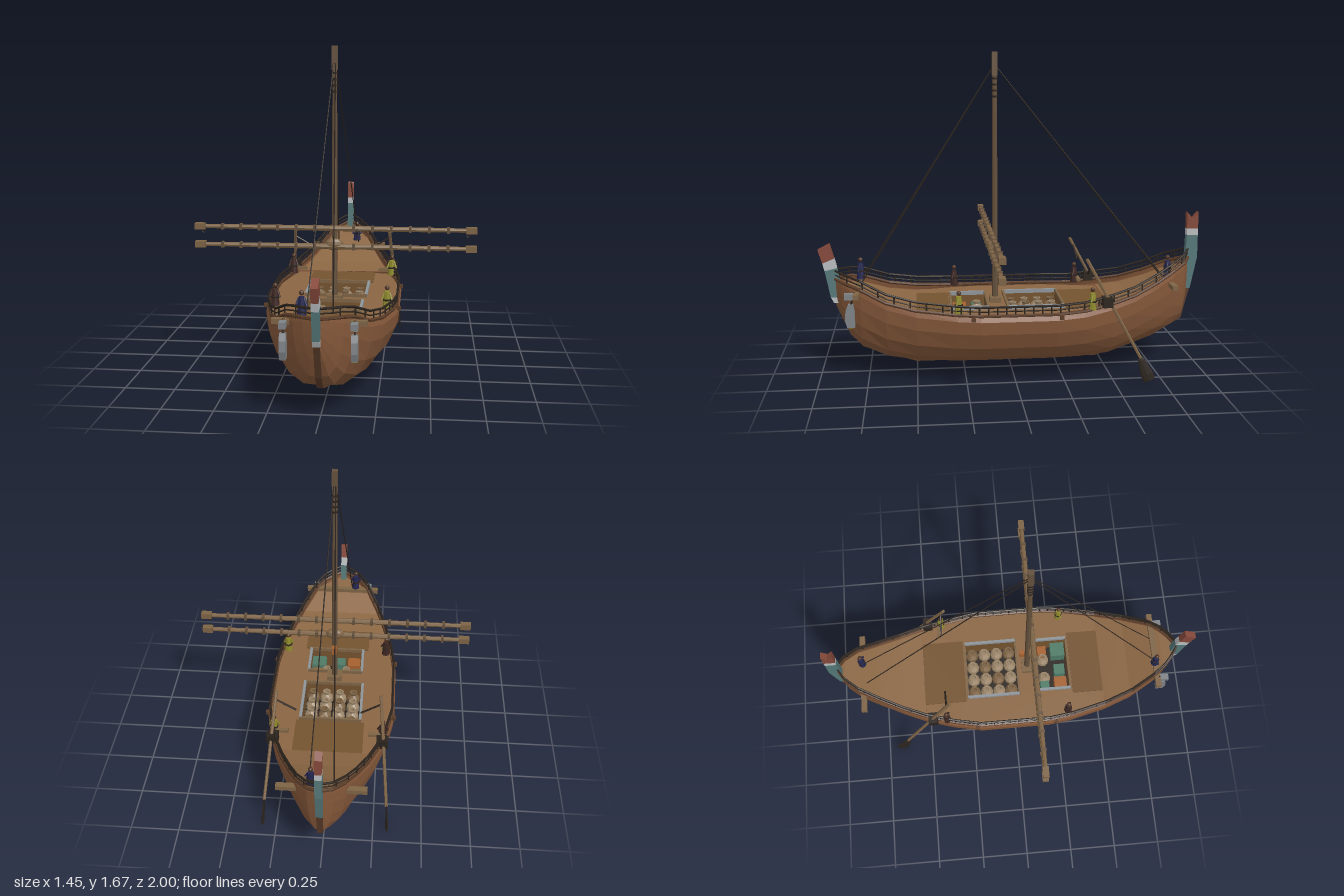
import * as THREE from 'three';

const C = { hull: 0x85583a, keel: 0x5a3c28, deck: 0x8a6643, plank: 0x73522f, wood: 0x7d6345, mast: 0x64503c, dark: 0x2b231d,
  teal: 0x557778, white: 0xb9bdbf, red: 0x84483a, stone: 0x7d8286, clay: 0x9a8468, yellow: 0x8f8a2c, navy: 0x23264f,
  maroon: 0x3d2622, skin: 0x4f3324, orange: 0xa5602e, green: 0x4f7a66, frame: 0x8d9499 };
const mats = {};
const mat = c => mats[c] ??= new THREE.MeshStandardMaterial({ color: C[c], flatShading: true, side: THREE.DoubleSide });
const V = (x, y, z) => new THREE.Vector3(x, y, z);

function add(parent, geo, color, name, x = 0, y = 0, z = 0) {
  const m = new THREE.Mesh(geo, mat(color));
  m.name = name;
  m.position.set(x, y, z);
  parent.add(m);
  return m;
}
const box = (p, c, n, w, h, d, x, y, z) => add(p, new THREE.BoxGeometry(w, h, d), c, n, x, y, z);

// Round bar between two points
function rod(p, c, n, a, b, r0, r1 = r0, sides = 6) {
  const m = add(p, new THREE.CylinderGeometry(r1, r0, a.distanceTo(b), sides), c, n);
  m.position.copy(a).lerp(b, 0.5);
  m.quaternion.setFromUnitVectors(V(0, 1, 0), b.clone().sub(a).normalize());
  return m;
}

// Plate with an outline in (z, y), centred on x = 0
function slab(p, c, n, pts, width) {
  const g = new THREE.ExtrudeGeometry(new THREE.Shape(pts.map(q => new THREE.Vector2(...q))), { depth: width, bevelEnabled: false });
  g.rotateY(-Math.PI / 2).translate(width / 2, 0, 0);
  return add(p, g, c, n);
}

// Skin over rows of points
function loft(rows) {
  const n = rows[0].length, idx = [];
  for (let i = 0; i < rows.length - 1; i++)
    for (let j = 0; j < n - 1; j++) {
      const a = i * n + j, b = a + n;
      idx.push(a, a + 1, b, b, a + 1, b + 1);
    }
  const g = new THREE.BufferGeometry();
  g.setAttribute('position', new THREE.Float32BufferAttribute(rows.flat(2), 3));
  g.setIndex(idx);
  g.computeVertexNormals();
  return g;
}

// Hull stations: z, half width, bottom, sheer
const ST = [[0.915, 0.012, 0.40, 0.505], [0.88, 0.065, 0.30, 0.50], [0.84, 0.11, 0.215, 0.495], [0.78, 0.155, 0.155, 0.48],
  [0.65, 0.22, 0.105, 0.425], [0.5, 0.27, 0.085, 0.395], [0.3, 0.315, 0.08, 0.38], [0.18, 0.33, 0.08, 0.375],
  [-0.2, 0.33, 0.08, 0.375], [-0.35, 0.30, 0.08, 0.38], [-0.5, 0.26, 0.09, 0.405], [-0.62, 0.215, 0.125, 0.43],
  [-0.75, 0.16, 0.165, 0.48], [-0.85, 0.115, 0.215, 0.53], [-0.92, 0.06, 0.27, 0.56], [-0.95, 0.012, 0.40, 0.58]];
function at(z) {
  const i = Math.max(1, Math.min(ST.length - 1, ST.findIndex(s => s[0] <= z)));
  const a = ST[i - 1], b = ST[i], t = (z - a[0]) / (b[0] - a[0]);
  return a.map((v, k) => v + (b[k] - v) * t);
}
const SECTION = [[0, 0], [0.42, 0.02], [0.72, 0.18], [0.9, 0.4], [1.01, 0.68], [1.03, 0.9], [0.99, 1]];

function person(p, c, x, y, z) {
  const g = new THREE.Group();
  g.name = 'crewMember';
  g.position.set(x, y, z);
  p.add(g);
  add(g, new THREE.CylinderGeometry(0.014, 0.022, 0.085, 8), c, 'tunic', 0, 0.045, 0);
  add(g, new THREE.SphereGeometry(0.012, 8, 6), 'skin', 'head', 0, 0.105, 0);
  add(g, new THREE.CylinderGeometry(0.021, 0.021, 0.008, 8), 'dark', 'belt', 0, 0.045, 0);
  for (const s of [-1, 1]) rod(g, c, 'arm', V(s * 0.012, 0.082, 0), V(s * 0.026, 0.045, 0.012), 0.005);
}

function hull(g) {
  const both = SECTION.slice(1).reverse().map(([u, v]) => [-u, v]).concat(SECTION);
  add(g, loft(ST.map(([z, w, b, t]) => both.map(([u, v]) => [u * w, b + v * (t - b), z]))), 'hull', 'hull');
  slab(g, 'keel', 'keel', [[0.935, 0.42], [0.885, 0.3], [0.845, 0.21], [0.78, 0.14], [0.62, 0.085], [0.5, 0.05], [-0.45, 0.05],
    [-0.62, 0.105], [-0.75, 0.148], [-0.92, 0.245], [-0.965, 0.42], [-0.92, 0.42], [-0.87, 0.3], [-0.6, 0.16], [-0.4, 0.1],
    [0.45, 0.1], [0.6, 0.14], [0.75, 0.2], [0.85, 0.35]], 0.03);

  // Painted stem and stern posts
  slab(g, 'white', 'stemFoot', [[0.925, 0.38], [0.94, 0.41], [0.88, 0.41], [0.87, 0.38]], 0.034);
  slab(g, 'teal', 'stemPost', [[0.94, 0.41], [0.968, 0.55], [0.905, 0.565], [0.88, 0.41]], 0.034);
  slab(g, 'white', 'stemBand', [[0.968, 0.55], [0.978, 0.59], [0.918, 0.615], [0.905, 0.565]], 0.034);
  slab(g, 'red', 'stemHead', [[0.978, 0.59], [1, 0.66], [0.94, 0.692], [0.918, 0.615]], 0.034);
  slab(g, 'teal', 'sternPost', [[-0.965, 0.41], [-0.93, 0.41], [-0.94, 0.7], [-1, 0.7], [-1, 0.58]], 0.034);
  slab(g, 'white', 'sternBand', [[-1, 0.7], [-0.94, 0.7], [-0.94, 0.735], [-1, 0.735]], 0.034);
  slab(g, 'red', 'sternHead', [[-1, 0.735], [-0.94, 0.735], [-0.94, 0.825], [-0.97, 0.79], [-1, 0.825]], 0.034);
}

function deck(g) {
  // Main deck with two cargo hatches; shape y runs along z
  const zs = ST.map(s => s[0]).filter(z => Math.abs(z) <= 0.5);
  const edge = zs.map(z => new THREE.Vector2(at(z)[1] * 0.99, z));
  const shape = new THREE.Shape([...edge, ...edge.map(q => new THREE.Vector2(-q.x, q.y)).reverse()]);
  const hatches = [[0.155, -0.26, 0.03], [0.145, 0.13, 0.32]];
  for (const [w, a, b] of hatches)
    shape.holes.push(new THREE.Path([[-w, a], [w, a], [w, b], [-w, b]].map(q => new THREE.Vector2(...q))));
  const geo = new THREE.ExtrudeGeometry(shape, { depth: 0.015, bevelEnabled: false });
  add(g, geo.rotateX(Math.PI / 2), 'deck', 'mainDeck', 0, 0.362, 0);
  for (const s of [-1, 1]) {
    const rows = ST.filter(q => q[0] * s >= 0.5).map(([z, w, , t]) => [-1, 1].map(k => [k * w * 0.99, t - 0.033, z]));
    add(g, loft(rows), 'deck', s > 0 ? 'foreDeck' : 'aftDeck');
  }
  for (const [za, zb] of [[-0.5, -0.27], [0.33, 0.5]])
    box(g, 'plank', 'centrePlanking', 0.36, 0.006, zb - za, 0, 0.364, (za + zb) / 2);

  for (const [w, a, b] of hatches) {
    const m = (a + b) / 2, l = b - a;
    box(g, 'dark', 'holdFloor', 2 * w, 0.01, l, 0, 0.24, m);
    for (const s of [-1, 1]) {
      box(g, 'plank', 'holdWall', 0.006, 0.12, l, s * w, 0.3, m);
      box(g, 'plank', 'holdWall', 2 * w, 0.12, 0.006, 0, 0.3, m + s * l / 2);
      box(g, 'frame', 'hatchCoaming', 0.014, 0.02, l, s * (w + 0.004), 0.37, m);
      box(g, 'wood', 'hatchCoaming', 2 * w + 0.02, 0.018, 0.012, 0, 0.37, m + s * l / 2);
    }
  }

  // Cargo
  const pot = new THREE.LatheGeometry([[0, 0], [0.02, 0], [0.036, 0.04], [0.034, 0.065], [0.016, 0.085], [0.021, 0.1], [0.013, 0.1], [0.011, 0.08]]
    .map(q => new THREE.Vector2(...q)), 10);
  for (let i = 0; i < 4; i++)
    for (let j = 0; j < 4; j++)
      add(g, pot, (i + j) % 3 ? 'clay' : 'wood', 'storageJar', -0.111 + i * 0.074, 0.245, -0.222 + j * 0.07);
  for (const x of [-0.06, 0.05]) add(g, pot, 'clay', 'storageJar', x, 0.25, 0.18);
  [['orange', -0.1, 0.27, 0.07], ['green', 0.1, 0.27, 0.08], ['green', -0.02, 0.27, 0.06], ['orange', 0.1, 0.18, 0.05], ['green', -0.11, 0.18, 0.05]]
    .forEach(([c, x, z, s]) => box(g, c, 'cargoBale', s, 0.08, s, x, 0.285, z));
}

function railing(g) {
  for (const s of [-1, 1]) {
    const point = (z, h) => { const [, w, , t] = at(z); return V(s * w * 0.99, t + h, z); };
    for (let i = 0; i < ST.length - 1; i++) {
      const a = ST[i][0], b = ST[i + 1][0];
      rod(g, 'keel', 'gunwale', point(a, 0), point(b, 0), 0.009);
      rod(g, 'dark', 'topRail', point(a, 0.045), point(b, 0.045), 0.006);
      rod(g, 'dark', 'midRail', point(a, 0.023), point(b, 0.023), 0.0035);
    }
    for (let z = -0.9; z < 0.9; z += Math.abs(z) < 0.33 ? 0.045 : 0.08)
      rod(g, 'dark', 'railPost', point(z, -0.01), point(z, 0.045), 0.004);
    for (const z of [0.22, -0.22]) box(g, 'keel', 'beamEnd', 0.025, 0.02, 0.02, s * 0.335, 0.362, z);
  }
}

function rigging(g) {
  const mz = 0.085;
  rod(g, 'mast', 'mast', V(0, 0.24, mz), V(0, 1.56, mz), 0.016, 0.012, 8);
  box(g, 'mast', 'mastHead', 0.028, 0.12, 0.028, 0, 1.605, mz);
  for (let i = 0; i < 4; i++) add(g, new THREE.CylinderGeometry(0.016, 0.016, 0.01, 8), 'dark', 'mastLashing', 0, 1.44 + i * 0.03, mz);
  box(g, 'wood', 'mastStep', 0.08, 0.03, 0.06, 0, 0.375, mz);
  for (const y of [0.745, 0.65]) {
    for (const s of [-1, 1]) {
      rod(g, 'wood', 'yard', V(0, y, 0.112), V(s * 0.68, y, 0.112), 0.015, 0.011, 8);
      box(g, 'wood', 'yardEnd', 0.055, 0.032, 0.032, s * 0.697, y, 0.112);
      for (let x = 0.1; x < 0.68; x += 0.096) box(g, 'mast', 'yardBand', 0.014, 0.03, 0.03, s * x, y, 0.112);
      if (y > 0.7) add(g, new THREE.TorusGeometry(0.009, 0.003, 5, 8), 'dark', 'yardRing', s * 0.68, y - 0.025, 0.112);
    }
  }
  add(g, new THREE.SphereGeometry(0.032, 8, 6), 'wood', 'yardParrel', 0, 0.66, 0.105).scale.set(1.6, 1, 0.8);
  box(g, 'orange', 'lantern', 0.025, 0.045, 0.025, 0, 0.585, 0.055);
  for (const s of [-1, 1]) {
    rod(g, 'dark', 'foreStay', V(s * 0.004, 1.6, mz), V(s * 0.06, 0.49, 0.78), 0.003, 0.003, 4);
    rod(g, 'dark', 'backStay', V(s * 0.004, 1.6, mz), V(s * 0.06, 0.48, -0.81), 0.003, 0.003, 4);
  }
  // Cross beams fore and aft
  box(g, 'wood', 'foreBeam', 0.43, 0.024, 0.03, 0, 0.457, 0.8);
  box(g, 'wood', 'aftBeam', 0.44, 0.024, 0.03, 0, 0.462, -0.83);
}

function sideGear(g, s) {
  // Steering oar, tiller and bracket
  const top = V(s * 0.265, 0.64, -0.355), neck = V(s * 0.315, 0.13, -0.63);
  rod(g, 'wood', 'oarShaft', top, neck, 0.009, 0.008);
  const blade = rod(g, 'dark', 'oarBlade', V(s * 0.314, 0.14, -0.625), V(s * 0.323, 0.003, -0.68), 0.02, 0.03, 6);
  blade.geometry = new THREE.LatheGeometry([[0, -0.07], [0.03, -0.066], [0.032, -0.03], [0.018, 0.05], [0.008, 0.072]]
    .map(q => new THREE.Vector2(...q)), 8).scale(0.22, 1, 1).rotateX(Math.PI);
  blade.geometry.computeVertexNormals();
  blade.rotation.set(0.38, 0, s * 0.05);
  blade.geometry.rotateX(Math.PI);
  const grip = V(s * 0.165, 0.54, -0.38);
  rod(g, 'dark', 'tiller', V(s * 0.275, 0.605, -0.375), grip, 0.005);
  box(g, 'dark', 'oarBracket', 0.06, 0.05, 0.05, s * 0.28, 0.42, -0.46);
  box(g, 'wood', 'oarBeam', 0.09, 0.016, 0.02, s * 0.25, 0.41, -0.4);

  // Hanging stone anchor
  const outline = [[-0.02, 0], [0.018, 0], [0.03, 0.04], [0.025, 0.09], [0.012, 0.12], [-0.012, 0.12], [-0.02, 0.08]];
  slab(g, 'stone', 'stoneAnchor', outline, 0.03).position.set(s * 0.16, 0.29, 0.83);
  box(g, 'yellow', 'anchorTip', 0.02, 0.012, 0.02, s * 0.16, 0.292, 0.83);
  rod(g, 'dark', 'anchorRope', V(s * 0.16, 0.4, 0.83), V(s * 0.16, 0.47, 0.81), 0.005);
  box(g, 'stone', 'anchorBlock', 0.032, 0.03, 0.06, s * 0.16, 0.45, 0.83);
}

export function createModel() {
  const g = new THREE.Group();
  g.name = 'sailingShip';
  hull(g);
  deck(g);
  railing(g);
  rigging(g);
  for (const s of [-1, 1]) {
    sideGear(g, s);
    for (const z of [0.29, -0.385]) person(g, s > 0 ? 'yellow' : 'maroon', s * 0.28, 0.38, z);
  }
  person(g, 'navy', -0.08, 0.48, 0.79);
  person(g, 'navy', 0.05, 0.485, -0.83);
  return g;
}
